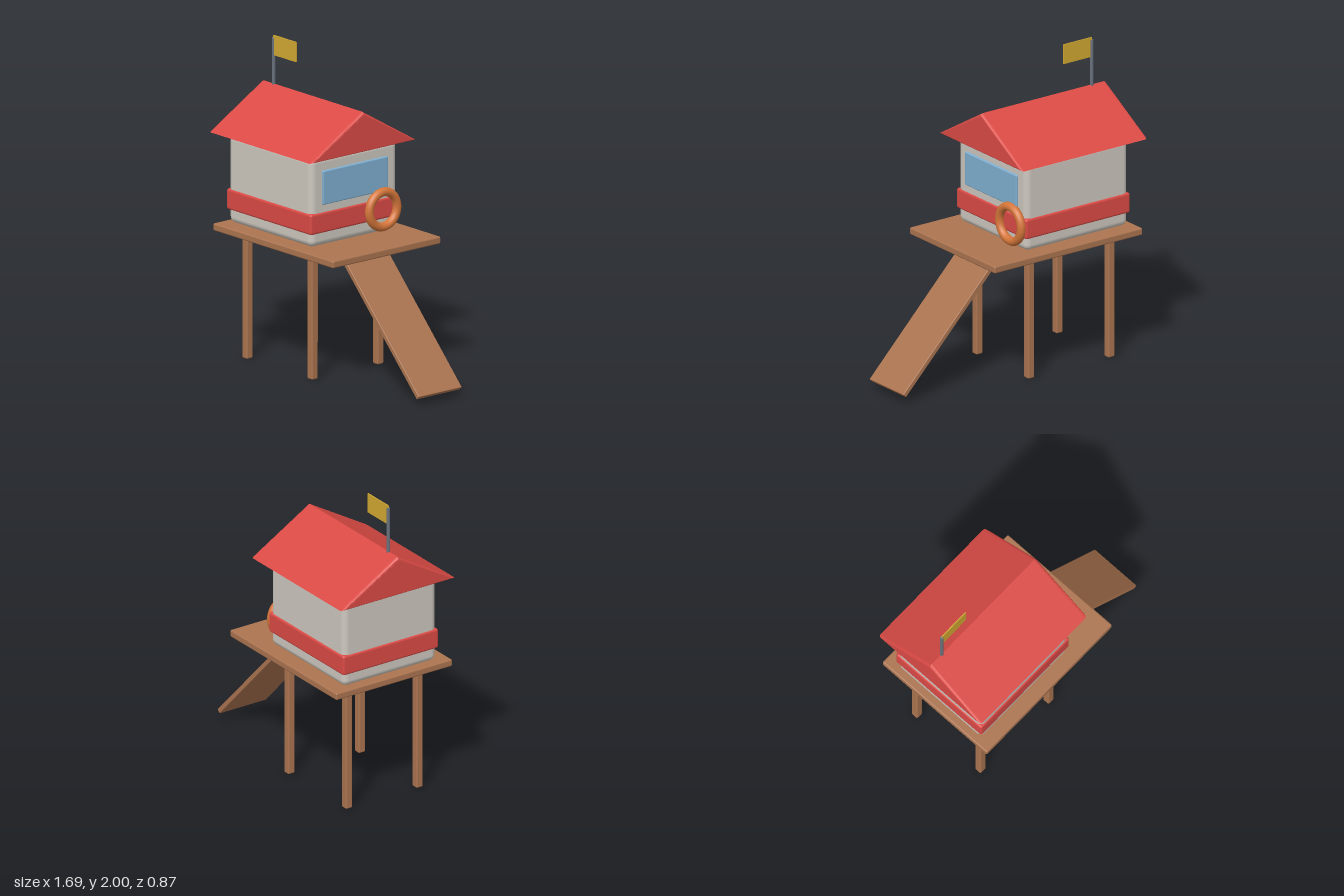
import * as THREE from 'three';
import { RoundedBoxGeometry } from 'three/addons/geometries/RoundedBoxGeometry.js';

const mat = (name, color) => {
  const m = new THREE.MeshStandardMaterial({ color });
  m.name = name;
  return m;
};

export function createModel() {
  const group = new THREE.Group();
  const wood = mat('wood', 0xab7450);
  const red = mat('red paint', 0xdb4a45);
  const wall = mat('pale wall', 0xcdc8bf);
  const glass = mat('window glass', 0x80b0d2);
  const orange = mat('orange ring', 0xd5763a);
  const metal = mat('pole metal', 0x69717c);
  const yellow = mat('flag yellow', 0xd2a832);

  const add = (name, geometry, material, x, y, z) => {
    const mesh = new THREE.Mesh(geometry, material);
    mesh.name = name;
    mesh.position.set(x, y, z);
    group.add(mesh);
    return mesh;
  };
  // rounded box given by its limits in x and y, centred on z = 0 unless given
  const block = (name, material, [x0, x1], [y0, y1], depth, radius, z = 0) =>
    add(name, new RoundedBoxGeometry(x1 - x0, y1 - y0, depth, 3, radius), material,
      (x0 + x1) / 2, (y0 + y1) / 2, z);

  // platform on four posts
  block('deck', wood, [-0.803, 0.334], [0.817, 0.864], 0.872, 0.01);
  for (const x of [-0.675, -0.059])
    for (const z of [-0.265, 0.265])
      block('post', wood, [x - 0.025, x + 0.025], [0, 0.825], 0.05, 0.01, z);

  // sloping ramp
  const top = new THREE.Vector2(0.107, 0.793), foot = new THREE.Vector2(0.829, 0.049);
  const ramp = add('ramp', new RoundedBoxGeometry(top.distanceTo(foot), 0.03, 0.348, 2, 0.004), wood,
    (top.x + foot.x) / 2, (top.y + foot.y) / 2, 0);
  ramp.rotation.z = Math.atan2(foot.y - top.y, foot.x - top.x);

  // cabin with painted band and window
  block('cabin', wall, [-0.76, 0.026], [0.864, 1.432], 0.698, 0.04);
  block('band', red, [-0.768, 0.034], [0.948, 1.08], 0.716, 0.015);
  block('window', glass, [0.016, 0.04], [1.128, 1.345], 0.526, 0.008);

  // gabled roof with softened gable edges
  const gable = new THREE.Shape([
    new THREE.Vector2(-0.427, 1.435), new THREE.Vector2(0.427, 1.435), new THREE.Vector2(0, 1.69),
  ]);
  const bevel = 0.018, x0 = -0.848, x1 = 0.116;
  const roofGeometry = new THREE.ExtrudeGeometry(gable, {
    depth: x1 - x0 - 2 * bevel, bevelSize: bevel, bevelThickness: bevel,
    bevelOffset: -bevel, bevelSegments: 3,
  });
  roofGeometry.rotateY(Math.PI / 2);
  add('roof', roofGeometry, red, x0 + bevel, 0, 0);

  // ring buoy on the end wall
  const ring = add('ringBuoy', new THREE.TorusGeometry(0.111, 0.028, 16, 48), orange, 0.047, 1.016, -0.214);
  ring.rotation.y = Math.PI / 2;

  // flag and pole
  add('flagPole', new THREE.CylinderGeometry(0.011, 0.011, 0.345, 12), metal, -0.738, 1.81, 0);
  add('flag', new THREE.BoxGeometry(0.216, 0.128, 0.007), yellow, -0.63, 1.936, 0);

  return group;
}
